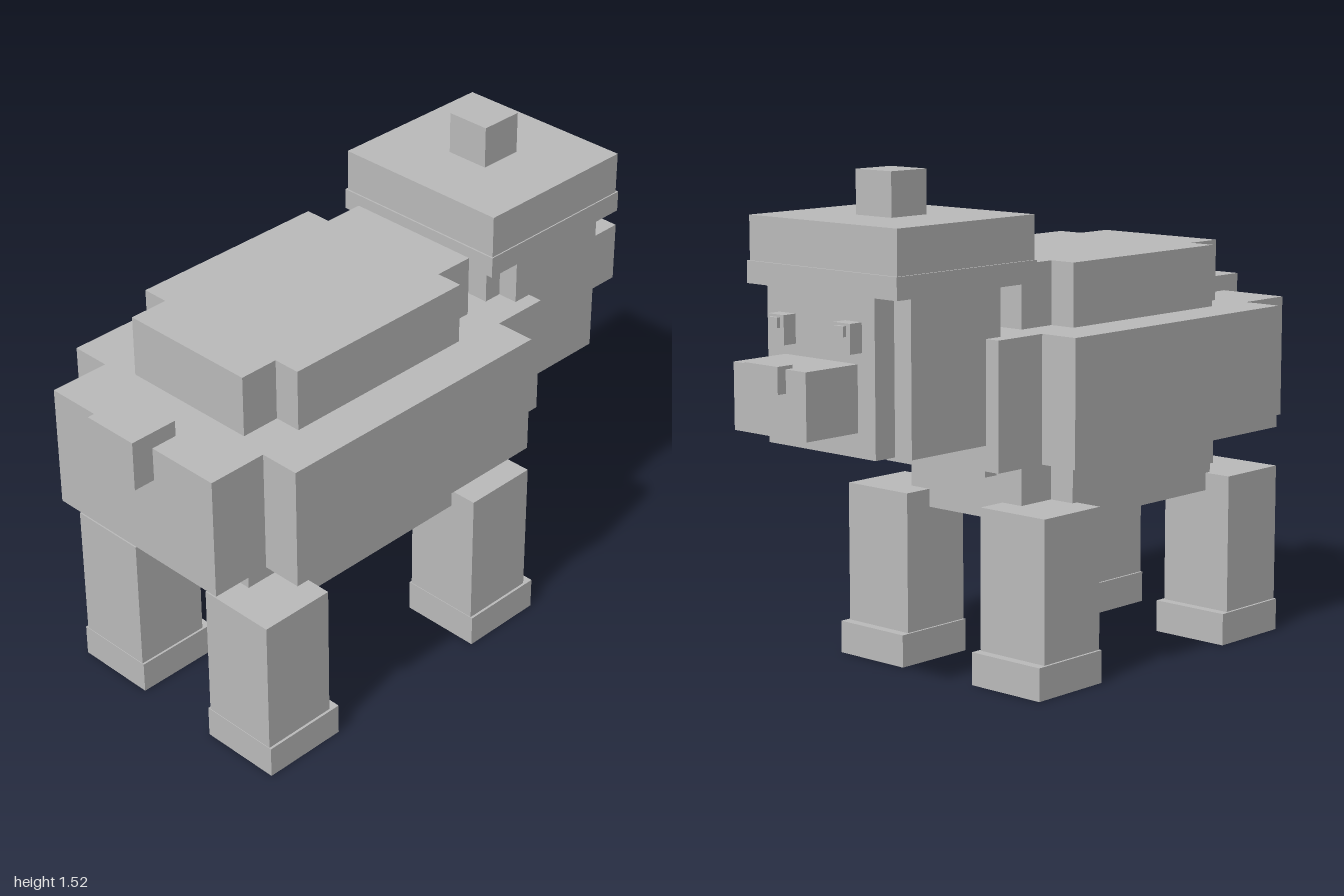
import * as THREE from 'three';

const grey = new THREE.MeshStandardMaterial({ color: 0xbbbbbb });
grey.name = 'plain grey';

// Box given by its min and max along each axis
function box(name, [x0, x1], [y0, y1], [z0, z1]) {
  const mesh = new THREE.Mesh(new THREE.BoxGeometry(x1 - x0, y1 - y0, z1 - z0), grey);
  mesh.position.set((x0 + x1) / 2, (y0 + y1) / 2, (z0 + z1) / 2);
  mesh.name = name;
  return mesh;
}

// Upright block with notched corners: half width w (n at the ends),
// long span z0..z1, with the full width only between a0..a1
function notchedBlock(name, w, n, [y0, y1], [z0, z1], [a0, a1]) {
  const half = [[n, z0], [n, a0], [w, a0], [w, a1], [n, a1], [n, z1]];
  const outline = [...half, ...half.slice().reverse().map(([x, z]) => [-x, z])];
  const shape = new THREE.Shape(outline.map(([x, z]) => new THREE.Vector2(x, -z)));
  const geometry = new THREE.ExtrudeGeometry(shape, { depth: y1 - y0, bevelEnabled: false });
  geometry.rotateX(-Math.PI / 2);
  const mesh = new THREE.Mesh(geometry, grey);
  mesh.position.y = y0;
  mesh.name = name;
  return mesh;
}

export function createModel() {
  const model = new THREE.Group();
  model.name = 'blockAnimal';

  // Body: wide middle layer around a taller core
  model.add(
    notchedBlock('bodyCore', 0.31, 0.225, [0.475, 1.24], [-0.19, 0.715], [-0.06, 0.59]),
    notchedBlock('bodyMiddle', 0.453, 0.327, [0.67, 1.05], [-0.4, 0.93], [-0.215, 0.74]),
    box('tail', [-0.093, 0.09], [0.945, 1.1], [0.845, 1.0]),
    box('chestStrap', [-0.2, 0.2], [0.63, 0.68], [-0.32, -0.27]),
    box('chestStrapEdge', [-0.2, 0.2], [0.66, 0.68], [-0.36, -0.32]),
  );

  // Head, facing -z
  const head = new THREE.Group();
  head.name = 'head';
  head.add(
    notchedBlock('skull', 0.28, 0.215, [0.745, 1.2], [-0.775, -0.28], [-0.7, -0.34]),
    box('snout', [-0.147, 0.143], [0.815, 1.007], [-0.97, -0.77]),
    box('nose', [-0.068, 0.065], [0.94, 1.017], [-1.0, -0.945]),
  );

  // Tall cap with a slight brim and a square knob
  head.add(
    box('capCrown', [-0.296, 0.294], [1.22, 1.39], [-0.768, -0.215]),
    box('capBrim', [-0.302, 0.298], [1.195, 1.26], [-0.776, -0.21]),
    box('capKnob', [-0.073, 0.069], [1.38, 1.52], [-0.565, -0.424]),
  );
  model.add(head);

  for (const [side, s] of [['left', 1], ['right', -1]]) {
    const span = (a, b) => (s > 0 ? [a, b] : [-b, -a]);

    // Eyes
    head.add(
      box(`${side}Eye`, span(0.1, 0.165), [1.04, 1.125], [-0.82, -0.77]),
      box(`${side}Pupil`, span(0.115, 0.15), [1.088, 1.118], [-0.832, -0.815]),
    );

    // Legs, with feet that stick out toward the head
    for (const [end, back] of [['front', -0.04], ['hind', 0.815]]) {
      model.add(
        box(`${side}${end}Leg`, span(0.15, 0.4), [0.05, 0.53], [back - 0.245, back - 0.002]),
        box(`${side}${end}Foot`, span(0.143, 0.408), [0, 0.1], [back - 0.275, back]),
      );
    }
  }
  return model;
}
